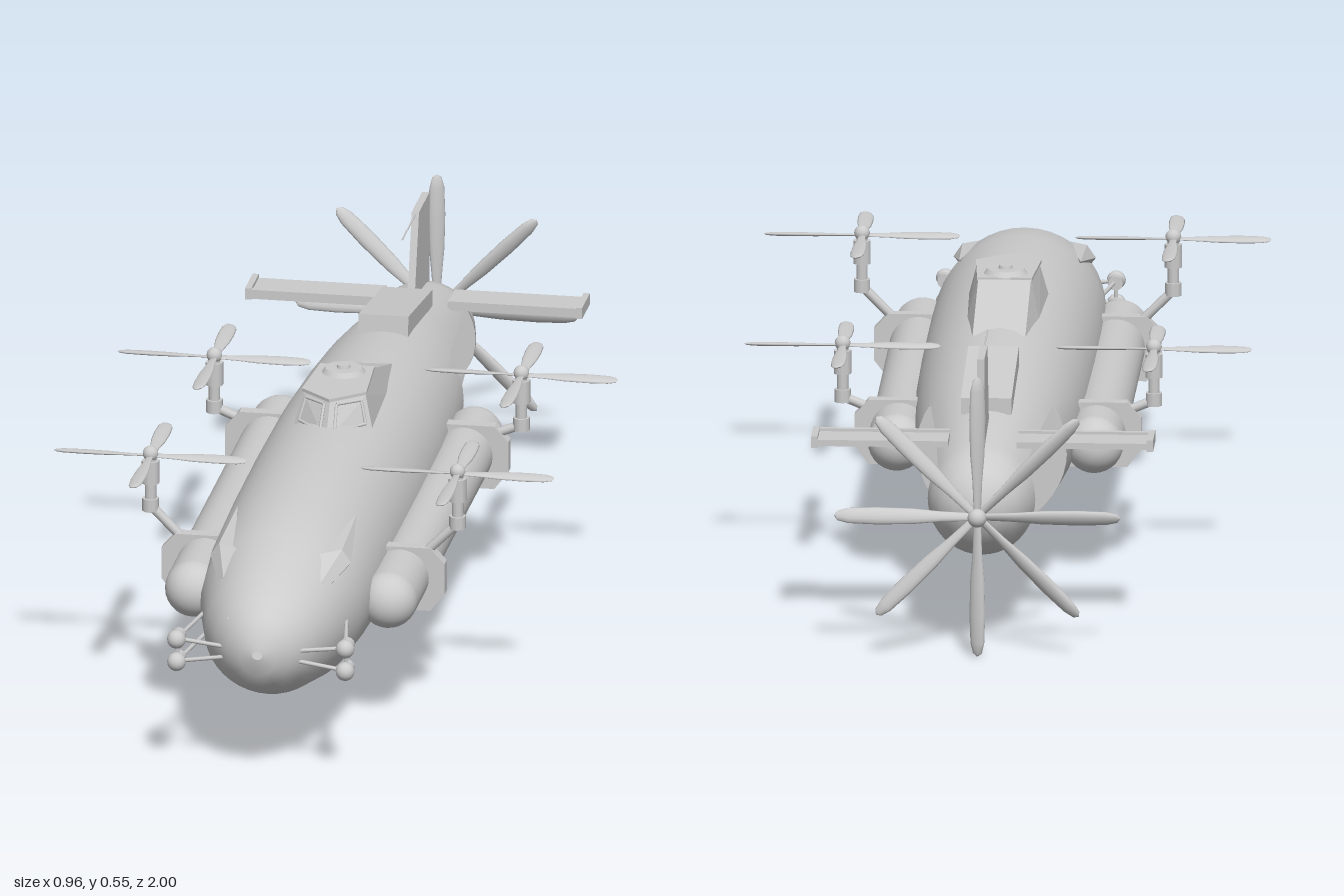
import * as THREE from 'three';
import { ConvexGeometry } from 'three/addons/geometries/ConvexGeometry.js';

const grey = new THREE.MeshStandardMaterial({ color: 0xcccccc, side: THREE.DoubleSide });
const flat = new THREE.MeshStandardMaterial({ color: 0xcccccc, side: THREE.DoubleSide, flatShading: true });
const V = (x, y, z) => new THREE.Vector3(x, y, z);

function add(parent, name, geo, x = 0, y = 0, z = 0, mat = grey) {
  const m = new THREE.Mesh(geo, mat);
  m.name = name;
  m.position.set(x, y, z);
  parent.add(m);
  return m;
}

// round bar between two points
function bar(parent, name, a, b, r, r2 = r) {
  const m = add(parent, name, new THREE.CylinderGeometry(r2, r, a.distanceTo(b), 10));
  m.position.copy(a).add(b).multiplyScalar(0.5);
  m.quaternion.setFromUnitVectors(V(0, 1, 0), b.clone().sub(a).normalize());
  return m;
}

// hull stations: z, bottom, top, half width
const stations = [
  [1.0, 0.262, 0.278, 0.01], [0.993, 0.228, 0.308, 0.035], [0.975, 0.2, 0.335, 0.062],
  [0.94, 0.177, 0.362, 0.092], [0.88, 0.152, 0.39, 0.122], [0.75, 0.124, 0.43, 0.153],
  [0.6, 0.113, 0.45, 0.164], [0.4, 0.11, 0.458, 0.166], [0.15, 0.11, 0.46, 0.166],
  [-0.1, 0.116, 0.456, 0.163], [-0.3, 0.125, 0.445, 0.154], [-0.45, 0.134, 0.434, 0.143],
  [-0.57, 0.145, 0.42, 0.128], [-0.7, 0.157, 0.4, 0.113], [-0.82, 0.168, 0.385, 0.102],
  [-0.865, 0.184, 0.372, 0.093], [-0.9, 0.208, 0.35, 0.072], [-0.92, 0.235, 0.325, 0.046], [-0.93, 0.268, 0.292, 0.012],
];

function hullGeometry() {
  const n = 40, pos = [], idx = [];
  for (const [z, lo, hi, w] of stations)
    for (let j = 0; j < n; j++) {
      const t = (j / n) * Math.PI * 2;
      pos.push(Math.cos(t) * w, (lo + hi) / 2 + (Math.sin(t) * (hi - lo)) / 2, z);
    }
  for (let i = 0; i < stations.length - 1; i++)
    for (let j = 0; j < n; j++) {
      // leave the engine bay open on both flanks
      const side = Math.abs(Math.sin(((j + 0.5) / n) * Math.PI * 2)) < 0.59;
      if (side && stations[i][0] <= -0.45 && stations[i + 1][0] >= -0.82) continue;
      const a = i * n + j, b = i * n + ((j + 1) % n), c = a + n, d = b + n;
      idx.push(a, c, b, b, c, d);
    }
  const g = new THREE.BufferGeometry();
  g.setAttribute('position', new THREE.Float32BufferAttribute(pos, 3));
  g.setIndex(idx);
  g.computeVertexNormals();
  return g;
}

// flattened, round-tipped blade pointing up from the hub
function bladeGeometry(len, width, thick) {
  const profile = [[0, 0], [0.22, 0.02], [0.3, 0.25], [0.45, 0.45], [0.5, 0.7], [0.44, 0.9], [0.28, 0.975], [0, 1]]
    .map(([r, y]) => new THREE.Vector2(r, y * len));
  return new THREE.LatheGeometry(profile, 12).scale(width, 1, thick);
}

function rotor(parent, name, count, len, width, thick, pitch) {
  const g = new THREE.Group();
  g.name = name;
  for (let i = 0; i < count; i++) {
    const arm = new THREE.Group();
    arm.rotation.z = (i / count) * Math.PI * 2;
    add(arm, 'blade', bladeGeometry(len, width, thick)).rotation.y = pitch;
    g.add(arm);
  }
  parent.add(g);
  return g;
}

export function createModel() {
  const root = new THREE.Group();
  root.name = 'submarine';
  add(root, 'hull', hullGeometry());

  // engine bay bulkheads and machinery
  for (const [z, r, y, h] of [[-0.451, 0.142, 0.284, 0.149], [-0.819, 0.101, 0.276, 0.108]])
    add(root, 'bulkhead', new THREE.CircleGeometry(1, 40).scale(r, h, 1), 0, y, z);
  add(root, 'engineBlock', new THREE.BoxGeometry(0.07, 0.065, 0.035), 0, 0.275, -0.71);
  bar(root, 'engineShaft', V(0, 0.275, -0.66), V(0, 0.275, -0.83), 0.02);
  for (let i = 0; i < 4; i++)
    bar(root, 'bayPost', V(0, 0.15, -0.48 - i * 0.045), V(0, 0.245, -0.48 - i * 0.045), 0.002);

  // conning cabin
  const cabin = [V(0, 0.435, 0.25), V(0, 0.505, 0.2)];
  for (const s of [-1, 1])
    cabin.push(V(s * 0.078, 0.43, 0.17), V(s * 0.07, 0.43, -0.05), V(s * 0.05, 0.435, -0.22),
      V(s * 0.06, 0.5, 0.15), V(s * 0.05, 0.508, 0.02), V(s * 0.035, 0.455, -0.12));
  add(root, 'cabin', new ConvexGeometry(cabin), 0, 0, 0, flat);
  const roof = new THREE.Shape([[0, 0.21], [0.062, 0.155], [0.052, 0.01], [-0.052, 0.01], [-0.062, 0.155]]
    .map(([x, z]) => new THREE.Vector2(x, -z)));
  add(root, 'cabinRoof', new THREE.ExtrudeGeometry(roof, { depth: 0.006, bevelEnabled: false }).rotateX(-Math.PI / 2), 0, 0.503, 0, flat);
  add(root, 'hatch', new THREE.CylinderGeometry(0.035, 0.042, 0.01, 24), 0, 0.513, 0.05);
  add(root, 'hatchKnob', new THREE.CylinderGeometry(0.012, 0.014, 0.008, 16), 0, 0.52, 0.05);
  // window frames lying on the cabin faces
  for (const s of [-1, 1]) {
    const loop = [V(s * 0.014, 0.452, 0.232), V(s * 0.064, 0.452, 0.175), V(s * 0.053, 0.494, 0.161), V(s * 0.012, 0.496, 0.198)];
    loop.forEach((p, i) => bar(root, 'windowFrame', p, loop[(i + 1) % 4], 0.003));
  }

  // dorsal ramp box
  const ramp = [];
  for (const s of [-0.048, 0.048])
    ramp.push(V(s, 0.425, -0.38), V(s, 0.47, -0.385), V(s, 0.432, -0.65), V(s, 0.4, -0.65));
  add(root, 'dorsalBox', new ConvexGeometry(ramp), 0, 0, 0, flat);

  // tail fin with aerial
  const fin = [];
  for (const s of [-0.007, 0.007])
    fin.push(V(s, 0.39, -0.685), V(s, 0.555, -0.735), V(s, 0.555, -0.85), V(s, 0.37, -0.85));
  add(root, 'tailFin', new ConvexGeometry(fin), 0, 0, 0, flat);
  bar(root, 'aerial', V(0, 0.55, -0.59), V(0, 0.55, -0.74), 0.0015);

  // stern propeller
  rotor(root, 'sternPropeller', 8, 0.272, 0.034, 0.018, 0.5).position.set(0, 0.277, -0.97);
  bar(root, 'propellerShaft', V(0, 0.277, -0.92), V(0, 0.277, -0.98), 0.014);
  add(root, 'propellerHub', new THREE.SphereGeometry(0.018, 16, 12), 0, 0.277, -0.98);

  // octagon-cornered pod clamp
  const clamp = new THREE.Shape([[0.13, 0.2], [0.245, 0.2], [0.272, 0.235], [0.272, 0.295], [0.245, 0.325], [0.13, 0.325]]
    .map(([x, y]) => new THREE.Vector2(x, y)));

  for (const s of [-1, 1]) {
    const side = new THREE.Group();
    side.name = s > 0 ? 'leftSide' : 'rightSide';
    root.add(side);

    add(side, 'pod', new THREE.CapsuleGeometry(0.055, 0.94, 12, 28).rotateX(Math.PI / 2), s * 0.187, 0.265, 0.155);

    // lifting rotors on braced masts
    for (const [z, y] of [[0.485, 0.475], [-0.215, 0.428]]) {
      const g = new THREE.ExtrudeGeometry(clamp, { depth: 0.026, bevelEnabled: false });
      if (s < 0) g.rotateY(Math.PI).translate(0, 0, 0.026);
      add(side, 'podClamp', g, 0, 0, z - 0.013, flat);
      const x = s * 0.295;
      bar(side, 'mast', V(x, y - 0.1, z), V(x, y, z), 0.011);
      bar(side, 'motor', V(x, y - 0.055, z), V(x, y - 0.01, z), 0.017);
      bar(side, 'mastFoot', V(x, y - 0.11, z), V(x, y - 0.085, z), 0.016);
      add(side, 'rotorHub', new THREE.SphereGeometry(0.015, 14, 10), x, y + 0.004, z);
      bar(side, 'strut', V(x, y - 0.1, z), V(s * 0.215, 0.295, z), 0.009);
      const r = rotor(side, 'liftRotor', 4, 0.186, 0.03, 0.008, 0.2);
      r.rotation.x = Math.PI / 2;
      r.position.set(x, y, z);
    }

    // tailplane with thicker tip
    add(side, 'tailplane', new THREE.BoxGeometry(0.25, 0.012, 0.075), s * 0.19, 0.376, -0.76);
    add(side, 'tailplaneTip', new THREE.BoxGeometry(0.012, 0.022, 0.085), s * 0.318, 0.378, -0.757);
    add(side, 'tailplaneSpar', new THREE.BoxGeometry(0.25, 0.018, 0.012), s * 0.19, 0.378, -0.72);

    // bow sensor frame
    for (const y of [0.235, 0.28]) {
      const tip = V(s * 0.162, y, 0.955);
      add(side, 'bowSensor', new THREE.SphereGeometry(0.018, 14, 10), tip.x, y, 0.96);
      add(side, 'sensorMount', new THREE.CylinderGeometry(0.014, 0.014, 0.03, 12).rotateX(Math.PI / 2), tip.x, y, 0.945);
      bar(side, 'sensorArm', tip, V(s * 0.06, y < 0.25 ? 0.25 : 0.268, 0.955), 0.004);
      bar(side, 'sensorBrace', tip, V(s * 0.13, y, 0.76), 0.004);
    }
    bar(side, 'sensorLink', V(s * 0.162, 0.235, 0.95), V(s * 0.162, 0.28, 0.95), 0.004);

    // shoulder fairing on the bow
    const fairing = [V(s * 0.04, 0.31, 0.97), V(s * 0.065, 0.325, 0.95), V(s * 0.08, 0.4, 0.77), V(s * 0.118, 0.4, 0.74),
      V(s * 0.135, 0.375, 0.74), V(s * 0.115, 0.41, 0.56), V(s * 0.1, 0.33, 0.75)];
    add(side, 'bowFairing', new ConvexGeometry(fairing), 0, 0, 0, flat);
  }
  return root;
}
